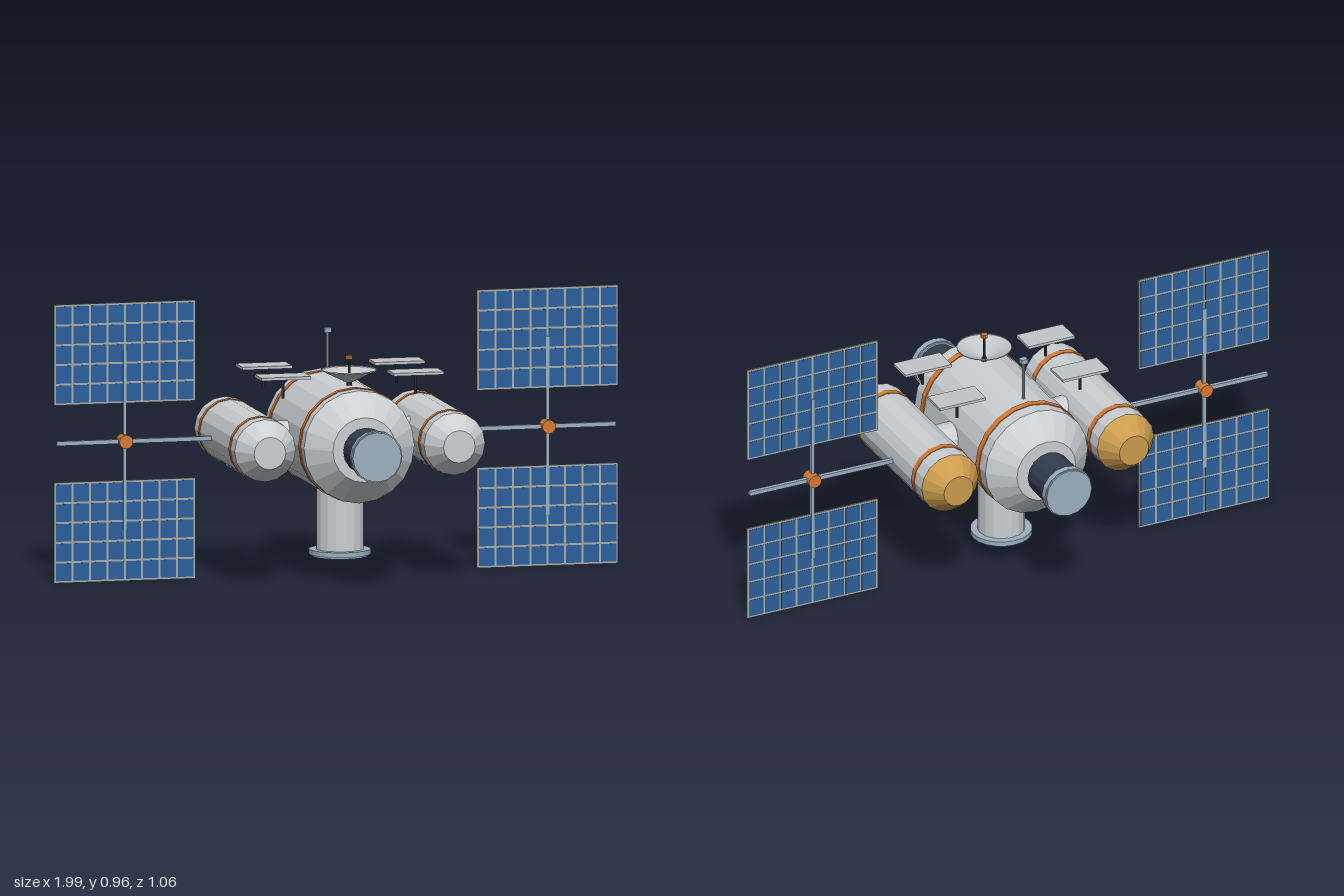
import * as THREE from 'three';
import { mergeGeometries } from 'three/addons/utils/BufferGeometryUtils.js';

const mat = (name, color, extra = {}) => {
  const m = new THREE.MeshStandardMaterial({ color, flatShading: true, ...extra });
  m.name = name;
  return m;
};

export function createModel() {
  const hullGrey = mat('hullGrey', 0xccd0d3);
  const plateGrey = mat('plateGrey', 0xc3c7c9, { side: THREE.DoubleSide });
  const steelBlue = mat('steelBlue', 0x9cb1bf);
  const darkNavy = mat('darkNavy', 0x323d4f);
  const orange = mat('orange', 0xd47a36);
  const gold = mat('gold', 0xcb9d4e);
  const cellBlue = mat('cellBlue', 0x2b5f9c);
  const frameGrey = mat('frameGrey', 0xa9aca8);
  const windowBlue = mat('windowBlue', 0x56809a);

  const model = new THREE.Group();
  model.name = 'spaceStation';
  const AXIS = 0.483;

  const add = (parent, name, geo, material, x = 0, y = 0, z = 0) => {
    const mesh = new THREE.Mesh(geo, material);
    mesh.name = name;
    mesh.position.set(x, y, z);
    parent.add(mesh);
    return mesh;
  };
  const box = (w, h, d) => new THREE.BoxGeometry(w, h, d);
  const cyl = (r, h, n = 16) => new THREE.CylinderGeometry(r, r, h, n);
  // profile of [radius, height] pairs, turned round y
  const lathe = (pts, n) => new THREE.LatheGeometry(pts.map(p => new THREE.Vector2(...p)), n);
  // the same, laid along z
  const latheZ = (pts, n) => lathe(pts, n).rotateX(Math.PI / 2);

  // Central hull with tapered ends and two bands
  add(model, 'mainHull', latheZ(
    [[0, -0.353], [0.112, -0.353], [0.195, -0.276], [0.195, 0.276], [0.112, 0.353], [0, 0.353]], 20),
  hullGrey, 0, AXIS, 0);
  for (const z of [-0.217, 0.217])
    add(model, 'hullBand', cyl(0.198, 0.025, 20).rotateX(Math.PI / 2), orange, 0, AXIS, z);

  // Docking tunnels at the front and back
  for (const s of [1, -1]) {
    add(model, 'dockingTunnel', cyl(0.08, 0.124).rotateX(Math.PI / 2), darkNavy, 0, AXIS, s * 0.433);
    add(model, 'dockingCollar', cyl(0.086, 0.037).rotateX(Math.PI / 2), steelBlue, 0, AXIS, s * 0.5135);
    add(model, 'dockingRim', cyl(0.09, 0.024).rotateX(Math.PI / 2), steelBlue, 0, AXIS, s * 0.514);
  }

  // Lower docking column
  add(model, 'lowerColumn', cyl(0.082, 0.25), hullGrey, 0, 0.215, 0);
  add(model, 'lowerFlange', cyl(0.107, 0.017, 20), steelBlue, 0, 0.0845, 0);
  add(model, 'lowerRing', cyl(0.097, 0.008, 20), steelBlue, 0, 0.073, 0);
  add(model, 'lowerHatch', cyl(0.072, 0.004, 20), darkNavy, 0, 0.0685, 0);
  add(model, 'hatchRing', new THREE.TorusGeometry(0.04, 0.004, 4, 16).rotateX(Math.PI / 2), steelBlue, 0, 0.068, 0);
  for (let i = 0; i < 3; i++)
    add(model, 'hatchSpoke', box(0.14, 0.004, 0.007), steelBlue, 0, 0.067, 0).rotation.y = i * Math.PI / 3;

  for (const s of [1, -1]) {
    // Side pod with gold tail
    const pod = new THREE.Group();
    pod.name = s > 0 ? 'leftPod' : 'rightPod';
    pod.position.set(s * 0.334, AXIS, 0);
    model.add(pod);
    add(pod, 'podBody', latheZ([[0.108, -0.286], [0.108, 0.285], [0.056, 0.353], [0, 0.353]], 16), hullGrey);
    add(pod, 'podTail', latheZ([[0, -0.353], [0.056, -0.353], [0.108, -0.286]], 16), gold);
    for (const z of [-0.217, 0.217])
      add(pod, 'podBand', cyl(0.1105, 0.022).rotateX(Math.PI / 2), orange, 0, 0, z);
    for (const z of [-0.108, 0, 0.108])
      add(pod, 'podWindow', box(0.07, 0.008, 0.057), windowBlue, 0, -0.106, z);
    add(model, 'podConnector', cyl(0.06, 0.12).rotateZ(Math.PI / 2), hullGrey, s * 0.21, AXIS, 0);

    // Raised flat panels on posts
    for (const z of [-0.134, 0.134]) {
      add(model, 'topPanel', box(0.176, 0.01, 0.096), plateGrey, s * 0.234, 0.714, z);
      add(model, 'topPanelPost', cyl(0.0055, 0.07, 8), darkNavy, s * 0.234, 0.675, z);
    }

    // Solar wing: boom, hub, mast and two arrays
    const wing = new THREE.Group();
    wing.name = s > 0 ? 'leftSolarWing' : 'rightSolarWing';
    wing.position.set(s * 0.746, AXIS, -0.053);
    model.add(wing);
    add(wing, 'boom', box(0.57, 0.015, 0.014), steelBlue, -s * 0.045, 0, 0);
    add(wing, 'hub', cyl(0.024, 0.05, 12).rotateX(Math.PI / 2), orange);
    add(wing, 'mast', box(0.012, 0.616, 0.013), steelBlue, 0, 0.003, 0);
    const W = 0.498, H = 0.348, COLS = 8, ROWS = 5, GAP = 0.007;
    const cw = (W - GAP) / COLS, ch = (H - GAP) / ROWS;
    for (const v of [1, -1]) {
      const y = v > 0 ? 0.306 : -0.309;
      add(wing, 'solarFrame', box(W, H, 0.006), frameGrey, 0, y, 0);
      const cells = [];
      for (let c = 0; c < COLS; c++)
        for (let r = 0; r < ROWS; r++)
          cells.push(box(cw - GAP, ch - GAP, 0.008)
            .translate((c + 0.5 - COLS / 2) * cw, (r + 0.5 - ROWS / 2) * ch, 0));
      add(wing, 'solarCells', mergeGeometries(cells), cellBlue, 0, y, 0);
    }
  }

  // Dish with feed
  add(model, 'dish', lathe([[0, 0.688], [0.012, 0.688], [0.095, 0.728], [0.095, 0.732]], 24), plateGrey, 0, 0, 0.133);
  add(model, 'dishMount', cyl(0.01, 0.03, 8), darkNavy, 0, 0.674, 0.133);
  add(model, 'dishFeedPost', cyl(0.004, 0.08, 8), darkNavy, 0, 0.729, 0.133);
  add(model, 'dishFeed', cyl(0.012, 0.013, 10), orange, 0, 0.774, 0.133);

  // Whip aerial
  add(model, 'aerial', cyl(0.005, 0.16, 8), steelBlue, 0, 0.74, -0.174);
  add(model, 'aerialTip', box(0.023, 0.017, 0.023), steelBlue, 0, 0.825, -0.174);

  return model;
}
